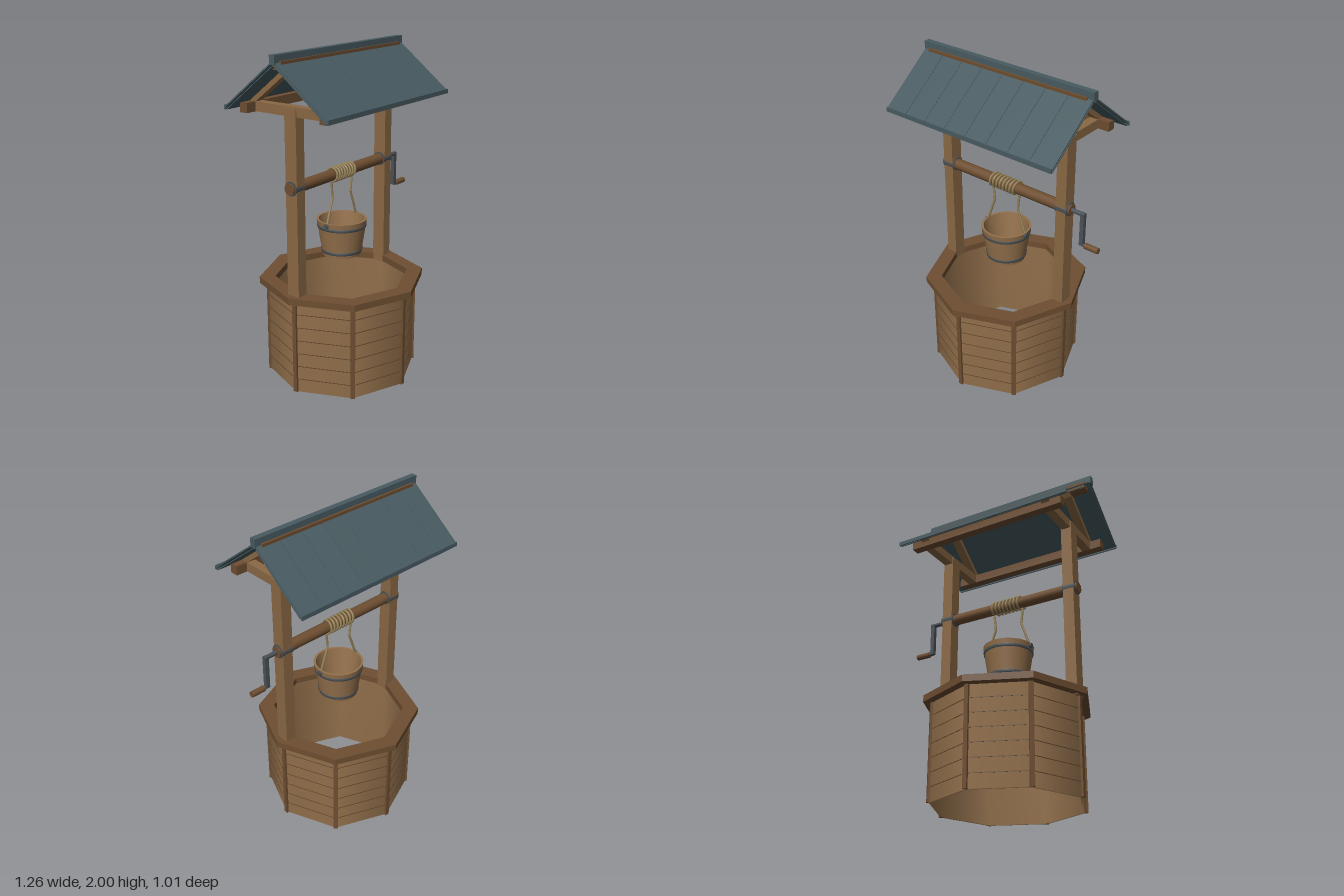
import * as THREE from 'three';

const mat = (color, extra = {}) => new THREE.MeshStandardMaterial({ color, ...extra });
const both = { side: THREE.DoubleSide };
const WOOD = mat(0x94714c, both), POST = mat(0x8a6844), DARK = mat(0x6e4e31), GROOVE = mat(0x5c432b);
const SLATE = mat(0x485b61), METAL = mat(0x4a5156, both), ROPE = mat(0x98845a);

export function createModel() {
  const model = new THREE.Group();
  const well = new THREE.Group();
  well.name = 'well';
  well.position.x = -0.037;
  model.add(well);

  const add = (name, geo, material, x = 0, y = 0, z = 0, parent = well) => {
    const m = new THREE.Mesh(geo, material);
    m.name = name;
    m.position.set(x, y, z);
    parent.add(m);
    return m;
  };
  const box = (name, w, h, d, material, x, y, z, parent) =>
    add(name, new THREE.BoxGeometry(w, h, d), material, x, y, z, parent);
  // rod lying along x from x0 to x1
  const rod = (name, r, x0, x1, y, material, seg = 16) =>
    add(name, new THREE.CylinderGeometry(r, r, x1 - x0, seg).rotateZ(Math.PI / 2), material, (x0 + x1) / 2, y);
  const lathe = (pts, seg = 32) =>
    new THREE.LatheGeometry(pts.map(([r, y]) => new THREE.Vector2(r, y)), seg);

  // eight-sided wall, open at top and bottom, softly shaded over its edges
  const R = 0.453, H = 0.58, apothem = R * Math.cos(Math.PI / 8);
  add('wellWall', lathe([[R - 0.018, H], [R - 0.018, 0], [R, 0], [R, H]], 8), WOOD);

  // corner strips and plank seams
  for (let i = 0; i < 8; i++) {
    const side = new THREE.Group();
    side.name = 'wellSide';
    side.rotation.y = i * Math.PI / 4;
    well.add(side);
    box('cornerStrip', 0.026, H, 0.02, DARK, 0, H / 2, R - 0.002, side);
    const seams = new THREE.Group();
    seams.name = 'plankSeams';
    seams.rotation.y = Math.PI / 8;
    side.add(seams);
    for (let k = 1; k <= 6; k++)
      box('plankSeam', 0.33, 0.004, 0.003, GROOVE, 0, k * 0.083, apothem, seams);
  }

  // octagonal rim
  const octagon = (r) => Array.from({ length: 8 }, (_, i) =>
    new THREE.Vector2(r * Math.cos(i * Math.PI / 4), r * Math.sin(i * Math.PI / 4)));
  const rim = new THREE.Shape(octagon(0.503));
  rim.holes.push(new THREE.Path(octagon(0.407)));
  add('rim', new THREE.ExtrudeGeometry(rim, { depth: 0.04, bevelEnabled: false }).rotateX(-Math.PI / 2), DARK, 0, 0.575);

  // posts, axle collars and roof trusses
  const slope = Math.atan2(0.268, 0.345);
  for (const s of [-1, 1]) {
    const x = s * 0.426;
    box('post', 0.068, 1.135, 0.08, POST, x, 1.1375, 0);
    rod('axleCollar', 0.042, x - 0.041, x + 0.041, 1.255, METAL, 24);
    box('tieBeam', 0.055, 0.055, 0.6, POST, x, 1.685, 0);
    for (const f of [-1, 1]) {
      const rafter = box('rafter', 0.055, 0.036, 0.4, POST, x, 1.814, f * 0.149);
      rafter.rotation.x = f * slope;
    }
  }

  // axle and crank
  rod('axle', 0.034, -0.478, 0.478, 1.255, DARK, 20);
  rod('crankShaft', 0.013, 0.47, 0.567, 1.255, METAL);
  box('crankArm', 0.026, 0.21, 0.024, METAL, 0.554, 1.158, 0);
  rod('handlePin', 0.011, 0.554, 0.59, 1.057, METAL);
  rod('crankHandle', 0.018, 0.577, 0.667, 1.057, DARK);

  // wound rope
  const turns = 8, coil = [];
  for (let i = 0; i <= turns * 14; i++) {
    const a = i / 14 * Math.PI * 2;
    coil.push(new THREE.Vector3(-0.1 + 0.2 * i / (turns * 14), 1.255 - 0.04 * Math.cos(a), 0.04 * Math.sin(a)));
  }
  add('ropeCoil', new THREE.TubeGeometry(new THREE.CatmullRomCurve3(coil), turns * 24, 0.007, 6), ROPE);

  // rope ends, kinked once, down to the bucket ears
  for (const s of [-1, 1]) {
    const points = [[0.1, 1.215], [0.089, 1.12], [0.092, 1.105], [0.146, 0.955]]
      .map(([x, y]) => new THREE.Vector3(s * x, y, 0));
    const path = new THREE.CatmullRomCurve3(points, false, 'catmullrom', 0.1);
    add('ropeEnd', new THREE.TubeGeometry(path, 24, 0.007, 6), ROPE);
    rod('bucketEar', 0.015, s * 0.15 - 0.01, s * 0.15 + 0.01, 0.951, METAL);
  }

  // open bucket with two hoops
  add('bucketOuter', lathe([[0, 0.746], [0.117, 0.746], [0.117, 0.746], [0.152, 0.968]]), WOOD);
  add('bucketInner', lathe([[0.138, 0.968], [0.105, 0.77], [0.105, 0.77], [0, 0.77]]), WOOD);
  add('bucketLip', lathe([[0.152, 0.968], [0.138, 0.968]]), WOOD);
  for (const y of [0.774, 0.928]) {
    const r = 0.117 + (y - 0.746) * 0.158;
    add('bucketHoop', lathe([[r - 0.004, y - 0.009], [r + 0.002, y - 0.009], [r + 0.005, y + 0.009], [r - 0.004, y + 0.009]]), METAL);
  }

  // roof: ridge, purlins, sheathing, eight planks and an eave board on each slope
  box('ridgeCap', 1.19, 0.052, 0.036, SLATE, 0, 1.974, 0);
  box('ridgeBeam', 1.112, 0.048, 0.06, DARK, 0, 1.942, 0);
  for (const f of [-1, 1]) {
    box('purlin', 1.046, 0.056, 0.052, DARK, 0, 1.685, f * 0.279);
    const roof = new THREE.Group();
    roof.name = 'roofSlope';
    roof.position.set(0, 1.821, f * 0.187);
    roof.rotation.x = f * slope;
    well.add(roof);
    for (let i = 0; i < 8; i++)
      box('roofPlank', 0.145, 0.008, 0.434, SLATE, (i - 3.5) * 0.1473, 0, 0, roof);
    box('roofSheathing', 1.172, 0.005, 0.42, SLATE, 0, -0.016, 0, roof);
    box('eaveBoard', 1.176, 0.026, 0.008, SLATE, 0, 1.69, f * 0.357);
  }
  return model;
}
